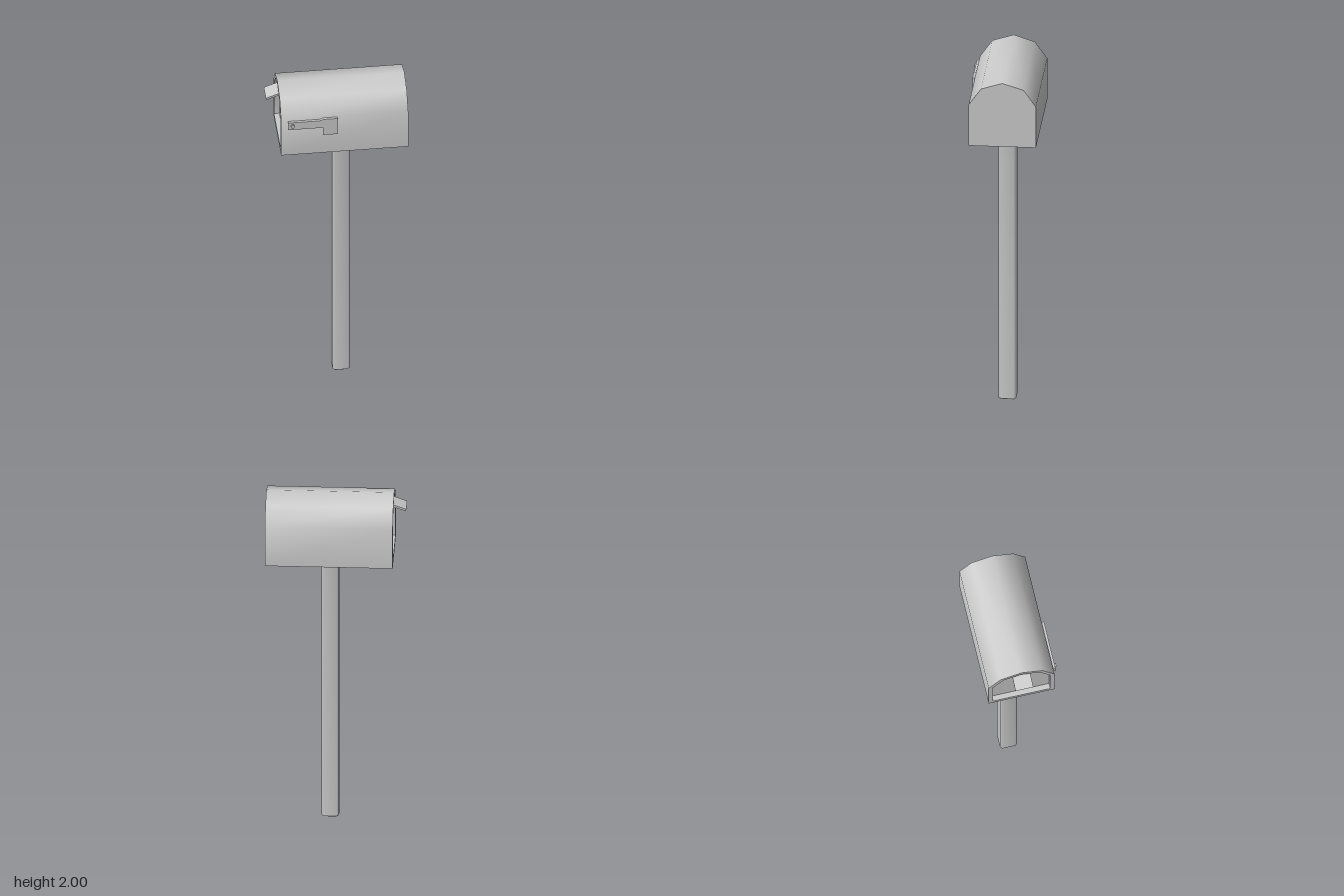
import * as THREE from 'three';
import { mergeVertices, toCreasedNormals } from 'three/addons/utils/BufferGeometryUtils.js';

const CENTER_Z = -0.0125;
const material = new THREE.MeshStandardMaterial({ color: 0xcccccc });

function addPart(group, name, geometry, x = 0, y = 0, z = 0) {
  const mesh = new THREE.Mesh(geometry, material);
  mesh.name = name;
  mesh.position.set(x, y, z);
  group.add(mesh);
  return mesh;
}

// Arched box with a rimmed recess in its -x end, lofted through scaled sections
function boxGeometry() {
  const middleY = 1.8125;
  const half = [[0.185, 1.625], [0.185, 1.867], [0.117, 1.963]];
  const profile = [...half, [0, 2], ...half.map(([z, y]) => [-z, y]).reverse()];
  const sections = [[0.384, 1], [-0.317, 1], [-0.317, 0.87], [-0.287, 0.87]];
  const rings = sections.map(([x, s]) =>
    profile.map(([z, y]) => [x, middleY + (y - middleY) * s, CENTER_Z + z * s]));
  const n = profile.length;
  const corners = [];
  for (let r = 0; r < rings.length - 1; r++) {
    const a = rings[r], b = rings[r + 1];
    for (let i = 0; i < n; i++) {
      const j = (i + 1) % n;
      corners.push(b[i], a[i], a[j], b[i], a[j], b[j]);
    }
  }
  // End caps: closed end and recessed door panel
  const first = rings[0], last = rings[rings.length - 1];
  for (let i = 1; i < n - 1; i++) {
    corners.push(first[0], first[i + 1], first[i]);
    corners.push(last[0], last[i], last[i + 1]);
  }
  const geometry = new THREE.BufferGeometry();
  geometry.setAttribute('position', new THREE.Float32BufferAttribute(corners.flat(), 3));
  return toCreasedNormals(geometry, 0.75);
}

// Square post with chamfered edges and softened normals
function postGeometry(width, height, chamfer) {
  const h = width / 2 - chamfer, c = chamfer * 0.9;
  const outline = [
    [h, -h + c], [h, h - c], [h - c, h], [-h + c, h],
    [-h, h - c], [-h, -h + c], [-h + c, -h], [h - c, -h],
  ].map(([x, y]) => new THREE.Vector2(x, y));
  let geometry = new THREE.ExtrudeGeometry(new THREE.Shape(outline), {
    depth: height - 2 * chamfer, bevelEnabled: true, bevelSegments: 1,
    bevelSize: chamfer, bevelThickness: chamfer,
  });
  geometry.translate(0, 0, chamfer);
  geometry.rotateX(-Math.PI / 2);
  geometry.deleteAttribute('normal');
  geometry.deleteAttribute('uv');
  geometry = mergeVertices(geometry);
  geometry.computeVertexNormals();
  return geometry;
}

export function createModel() {
  const model = new THREE.Group();
  model.name = 'mailbox';

  addPart(model, 'post', postGeometry(0.097, 1.634, 0.008), 0.032, 0, CENTER_Z);
  addPart(model, 'box', boxGeometry());

  // Sloping pull tab on the door
  const tab = addPart(model, 'doorHandle', new THREE.BoxGeometry(0.106, 0.012, 0.1),
    -0.334, 1.936, CENTER_Z);
  tab.rotation.z = 0.35;

  // Signal flag: slim arm widening into a head, turning on a pin
  const flag = new THREE.Group();
  flag.name = 'flag';
  const outline = [
    [-0.28, 1.808], [-0.087, 1.808], [-0.087, 1.758], [-0.006, 1.758],
    [-0.006, 1.865], [-0.087, 1.865], [-0.105, 1.857], [-0.28, 1.857],
  ].map(([x, y]) => new THREE.Vector2(x, y));
  addPart(flag, 'flagArm', new THREE.ExtrudeGeometry(new THREE.Shape(outline),
    { depth: 0.017, bevelEnabled: false }), 0, 0, 0.17);
  const pin = new THREE.CylinderGeometry(0.011, 0.011, 0.024, 16);
  pin.rotateX(Math.PI / 2);
  addPart(flag, 'flagPin', pin, -0.255, 1.834, 0.184);
  model.add(flag);

  return model;
}
